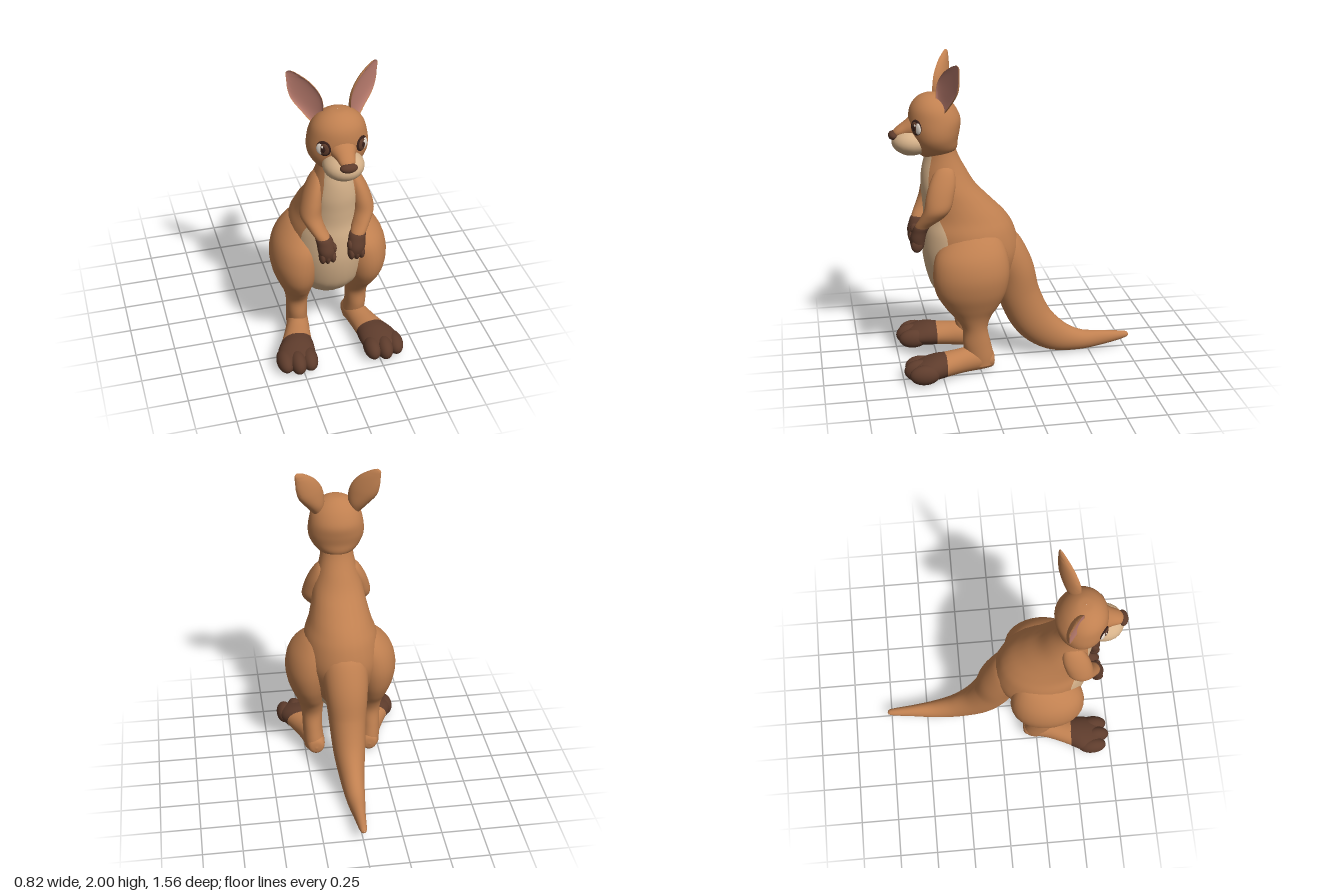
import * as THREE from 'three';
import { toCreasedNormals } from 'three/addons/utils/BufferGeometryUtils.js';

const paint = (name, color) => {
  const m = new THREE.MeshStandardMaterial({ color });
  m.name = name;
  return m;
};
const X = new THREE.Vector3(1, 0, 0), UP = new THREE.Vector3(0, 1, 0), FORWARD = new THREE.Vector3(0, 0, 1);
const SEG = 32, FRONT = 14, SUB = 5;

// Smooth skin over elliptical rings. Row: [x, y, z, halfWidth, halfDepth, frontAngle].
// The front arc of each ring is group 0, the rest is group 1.
function loft(rows, { dir = null, hollow = 1, minY = -9 } = {}) {
  const curve = (k) => new THREE.CatmullRomCurve3(
    rows.map((r) => new THREE.Vector3(r[k], r[k + 1], r[k + 2] ?? Math.PI * FRONT / SEG)), false, 'catmullrom', 0.5);
  const path = curve(0), size = curve(3), steps = (rows.length - 1) * SUB;
  const pos = [], front = [], rest = [];
  for (let i = 0; i <= steps; i++) {
    const c = path.getPoint(i / steps), s = size.getPoint(i / steps);
    const v = X.clone().cross(dir ?? path.getTangent(i / steps)).normalize();
    const rx = Math.max(s.x, 0.001), rv = Math.max(s.y, 0.001), a = s.z;
    for (let j = 0; j < SEG; j++) {
      const phi = j <= FRONT ? -a + 2 * a * j / FRONT
        : a + (2 * Math.PI - 2 * a) * (j - FRONT) / (SEG - FRONT);
      let d = rv * Math.cos(phi);
      if (d > 0) d *= hollow;
      pos.push(c.x + rx * Math.sin(phi), Math.max(minY, c.y + v.y * d), c.z + v.z * d);
      if (i < steps) {
        const p = i * SEG + j, q = i * SEG + (j + 1) % SEG;
        (j < FRONT ? front : rest).push(p, q, p + SEG, q, q + SEG, p + SEG);
      }
    }
  }
  const g = new THREE.BufferGeometry();
  g.setAttribute('position', new THREE.Float32BufferAttribute(pos, 3));
  g.setIndex([...front, ...rest]);
  g.addGroup(0, front.length, 0);
  g.addGroup(front.length, rest.length, 1);
  g.computeVertexNormals();
  return g;
}

export function createModel() {
  const fur = paint('tan fur', 0xc08050), cream = paint('cream fur', 0xd6b28a);
  const brown = paint('dark brown', 0x5e3c2c), pink = paint('ear pink', 0xba7c6e);
  const dark = paint('eye dark', 0x38201a), white = paint('eye white', 0xefe4d8);
  const model = new THREE.Group();
  model.name = 'kangaroo';

  const add = (name, geo, mat, parent = model) => {
    const m = new THREE.Mesh(geo, geo.groups.length > 1 && !Array.isArray(mat) ? [mat, mat] : mat);
    m.name = name;
    parent.add(m);
    return m;
  };
  const ball = (name, mat, p, s, parent = model) => {
    const m = add(name, new THREE.SphereGeometry(1, 24, 16), mat, parent);
    m.position.set(...p);
    m.scale.set(...s);
    return m;
  };

  // Torso rows: y, back z, front z, half width, belly half angle
  const torso = [
    [0.345, 0.20, 0.30, 0.01, 2.8], [0.40, 0.13, 0.41, 0.13, 2.6], [0.50, 0.07, 0.51, 0.20, 2.3],
    [0.60, 0.02, 0.555, 0.235, 1.6], [0.75, -0.03, 0.585, 0.255, 1.0], [0.90, 0.0, 0.585, 0.24, 1.0],
    [1.00, 0.055, 0.575, 0.205, 0.85], [1.10, 0.15, 0.58, 0.18, 0.68], [1.20, 0.245, 0.588, 0.16, 0.7],
    [1.30, 0.305, 0.582, 0.13, 0.76], [1.40, 0.355, 0.56, 0.108, 0.85], [1.50, 0.38, 0.55, 0.10, 0.9],
  ];
  add('torso', loft(torso.map(([y, b, f, w, a]) => [0, y, (b + f) / 2, w, (f - b) / 2, a]), { dir: UP }), [cream, fur]);

  // Tail sweeping down and back
  add('tail', loft([
    [0, 0.86, 0.16, 0.12, 0.10], [0, 0.77, 0.10, 0.15, 0.145], [0, 0.62, 0.01, 0.14, 0.135],
    [0, 0.43, -0.035, 0.122, 0.135], [0, 0.245, -0.125, 0.105, 0.13], [0, 0.125, -0.265, 0.08, 0.108],
    [0, 0.075, -0.43, 0.06, 0.07], [0, 0.075, -0.60, 0.038, 0.048], [0, 0.085, -0.75, 0.022, 0.022],
    [0, 0.088, -0.775, 0.002, 0.002],
  ]), fur);

  // Head and muzzle
  add('head', loft([
    [0, 1.395, 0.49, 0.07, 0.09], [0, 1.44, 0.49, 0.13, 0.13], [0, 1.50, 0.495, 0.17, 0.143],
    [0, 1.56, 0.495, 0.182, 0.155], [0, 1.63, 0.495, 0.174, 0.16], [0, 1.70, 0.505, 0.153, 0.138],
    [0, 1.75, 0.51, 0.112, 0.10], [0, 1.78, 0.51, 0.055, 0.052], [0, 1.787, 0.51, 0.002, 0.002],
  ], { dir: UP }), fur);
  ball('muzzle', cream, [0, 1.487, 0.635], [0.122, 0.085, 0.125]);
  ball('chin', cream, [0, 1.45, 0.64], [0.085, 0.05, 0.09]);
  add('noseBridge', loft([
    [0, 1.60, 0.55, 0.10, 0.09], [0, 1.585, 0.62, 0.082, 0.075], [0, 1.565, 0.68, 0.058, 0.05],
    [0, 1.548, 0.73, 0.042, 0.03], [0, 1.54, 0.755, 0.01, 0.01],
  ], { dir: FORWARD }), fur);
  ball('nose', brown, [0, 1.53, 0.748], [0.052, 0.028, 0.032]);

  for (const s of [1, -1]) {
    const side = s > 0 ? 'left' : 'right';
    const flip = (rows) => rows.map(([x, ...r]) => [x * s, ...r]);

    // Eye, built flat and turned onto the side of the face
    const eye = new THREE.Group();
    eye.name = side + 'Eye';
    eye.position.set(0.112 * s, 1.6, 0.617);
    eye.rotation.y = 0.64 * s;
    model.add(eye);
    ball('eyeRim', dark, [0, 0, 0], [0.045, 0.049, 0.010], eye);
    ball('eyeWhite', white, [0.018 * s, -0.004, 0.004], [0.026, 0.036, 0.010], eye);
    ball('iris', brown, [-0.006 * s, -0.002, 0.006], [0.029, 0.038, 0.011], eye);
    ball('pupil', dark, [-0.004 * s, 0, 0.010], [0.017, 0.025, 0.009], eye);
    ball('eyeGlint', white, [0.004 * s, 0.016, 0.016], [0.007, 0.008, 0.004], eye);

    // Cupped ear with pink inside, turned outward
    const ear = add(side + 'Ear', toCreasedNormals(loft(flip([
      [0.05, 1.69, 0, 0.03, 0.035, 1.0], [0.07, 1.75, 0, 0.066, 0.052, 1.3], [0.10, 1.82, 0, 0.095, 0.052, 1.4],
      [0.122, 1.88, 0, 0.094, 0.045, 1.4], [0.152, 1.94, 0, 0.07, 0.032, 1.4],
      [0.19, 1.985, 0, 0.034, 0.016, 1.3], [0.202, 2.0, 0, 0.004, 0.004, 1.3],
    ]), { dir: UP, hollow: -0.35 }), 1.0), [pink, fur]);
    ear.position.set(0.08 * s, 0, 0.495);
    ear.rotation.y = 0.557 * s;

    // Arm and paw, listed from the bottom up
    add(side + 'Arm', loft(flip([
      [0.10, 0.94, 0.605, 0.042, 0.038], [0.115, 0.975, 0.588, 0.047, 0.05], [0.145, 1.03, 0.54, 0.056, 0.072],
      [0.162, 1.09, 0.505, 0.066, 0.082], [0.15, 1.17, 0.485, 0.063, 0.086], [0.13, 1.25, 0.465, 0.052, 0.08],
      [0.105, 1.32, 0.45, 0.035, 0.055], [0.09, 1.36, 0.45, 0.003, 0.003],
    ]), { dir: UP }), fur);
    add(side + 'Paw', loft(flip([
      [0.088, 0.805, 0.62, 0.004, 0.004], [0.088, 0.825, 0.622, 0.04, 0.034], [0.092, 0.88, 0.624, 0.053, 0.047],
      [0.098, 0.93, 0.612, 0.052, 0.047], [0.108, 0.968, 0.595, 0.046, 0.046], [0.11, 0.975, 0.592, 0.01, 0.01],
    ]), { dir: UP }), brown);
    for (const [i, x] of [0.058, 0.09, 0.121].entries())
      ball(side + 'Finger' + (i + 1), brown, [x * s, 0.845, 0.632], [0.021, i === 1 ? 0.05 : 0.044, 0.036]);
    ball(side + 'Thumb', brown, [0.05 * s, 0.90, 0.63], [0.017, 0.035, 0.025]);

    // Big thigh running into a slim shin
    add(side + 'Leg', loft(flip([
      [0.19, 0.05, 0.25, 0.066, 0.085], [0.192, 0.11, 0.257, 0.068, 0.09], [0.197, 0.20, 0.275, 0.066, 0.088],
      [0.197, 0.30, 0.285, 0.07, 0.08], [0.20, 0.38, 0.297, 0.085, 0.115], [0.21, 0.46, 0.303, 0.108, 0.172],
      [0.215, 0.56, 0.308, 0.14, 0.222], [0.208, 0.68, 0.305, 0.16, 0.24], [0.185, 0.80, 0.298, 0.15, 0.22],
      [0.145, 0.90, 0.27, 0.105, 0.15], [0.12, 0.94, 0.25, 0.04, 0.07], [0.11, 0.95, 0.25, 0.003, 0.003],
    ]), { dir: UP }), fur);

    // Long foot with dark front and three toes
    add(side + 'Foot', loft(flip([
      [0.182, 0.07, 0.158, 0.004, 0.004], [0.182, 0.075, 0.172, 0.05, 0.052], [0.187, 0.085, 0.24, 0.068, 0.075],
      [0.205, 0.09, 0.33, 0.076, 0.08], [0.228, 0.088, 0.41, 0.087, 0.077], [0.25, 0.086, 0.485, 0.10, 0.075],
    ]), { dir: FORWARD, minY: 0.015 }), fur);
    add(side + 'FootFront', loft(flip([
      [0.25, 0.086, 0.48, 0.10, 0.075], [0.268, 0.085, 0.55, 0.118, 0.075], [0.28, 0.078, 0.63, 0.118, 0.062],
      [0.283, 0.07, 0.68, 0.09, 0.045], [0.283, 0.068, 0.70, 0.004, 0.004],
    ]), { dir: FORWARD, minY: 0.012 }), brown);
    for (const [i, [x, z]] of [[0.207, 0.64], [0.283, 0.652], [0.358, 0.625]].entries())
      ball(side + 'Toe' + (i + 1), brown, [x * s, 0.073, z], [0.054, i === 1 ? 0.07 : 0.063, 0.095]);
  }
  return model;
}
